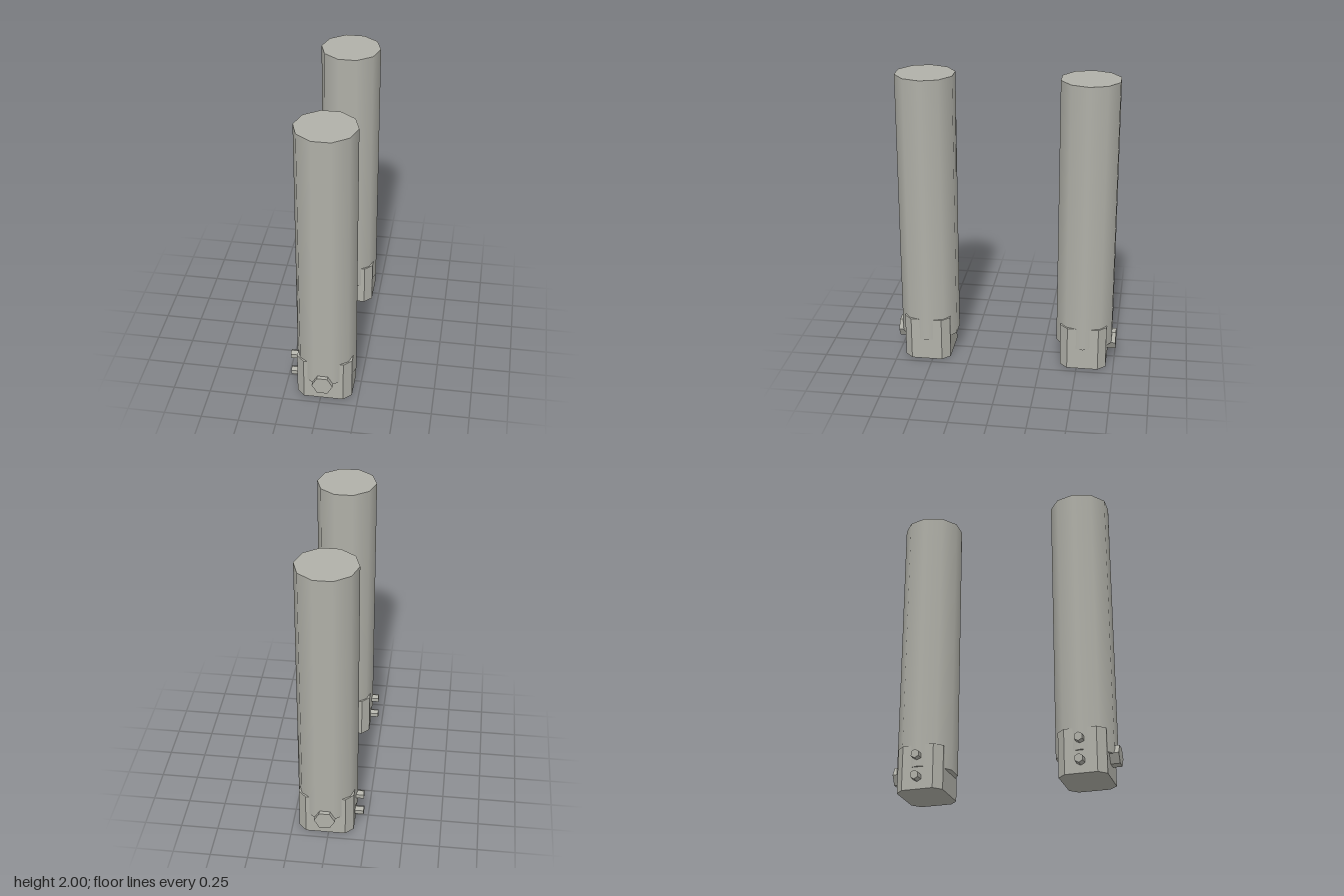
import * as THREE from 'three';

const grey = new THREE.MeshStandardMaterial({ color: 0xb0b0a8 });
grey.name = 'warm grey';

function addPart(group, name, geometry, x, y, z) {
  const mesh = new THREE.Mesh(geometry, grey);
  mesh.name = name;
  mesh.position.set(x, y, z);
  group.add(mesh);
  return mesh;
}

// Hexagonal prism with crisp faces
function hexPrism(radius, length) {
  const g = new THREE.CylinderGeometry(radius, radius, length, 6, 1, false, Math.PI / 2).toNonIndexed();
  g.computeVertexNormals();
  return g;
}

// Rectangular block with chamfered vertical corners, standing on y = 0
function chamferedBlock(hx, hz, c, height) {
  const outline = [
    [hx, -hz + c], [hx, hz - c], [hx - c, hz], [-hx + c, hz],
    [-hx, hz - c], [-hx, -hz + c], [-hx + c, -hz], [hx - c, -hz],
  ].map(([x, y]) => new THREE.Vector2(x, y));
  const g = new THREE.ExtrudeGeometry(new THREE.Shape(outline), { depth: height, bevelEnabled: false });
  return g.rotateX(-Math.PI / 2);
}

// One post; side is +1 at the front and -1 at the back
function createPost(side) {
  const post = new THREE.Group();
  post.name = side > 0 ? 'frontPost' : 'backPost';
  post.position.set(0.02, 0, 0.54 * side);

  // Smooth ten-sided tube set into the base
  const tube = new THREE.CylinderGeometry(0.2, 0.2, 1.85, 10, 1, false, Math.PI / 2);
  addPart(post, 'tube', tube, 0, 1.075, 0);
  addPart(post, 'base', chamferedBlock(0.185, 0.157, 0.052, 0.3), 0, 0, 0);

  // Large bolt on the outer side
  const bolt = hexPrism(0.07, 0.08).rotateX(Math.PI / 2);
  addPart(post, 'bolt', bolt, 0, 0.153, 0.178 * side);

  // Two small pins on the right side
  for (const y of [0.08, 0.222]) {
    const pin = hexPrism(0.03, 0.08).rotateZ(Math.PI / 2);
    addPart(post, 'pin', pin, -0.203, y, 0);
  }
  return post;
}

export function createModel() {
  const model = new THREE.Group();
  model.name = 'pairOfPosts';
  for (const side of [1, -1]) model.add(createPost(side));
  return model;
}
